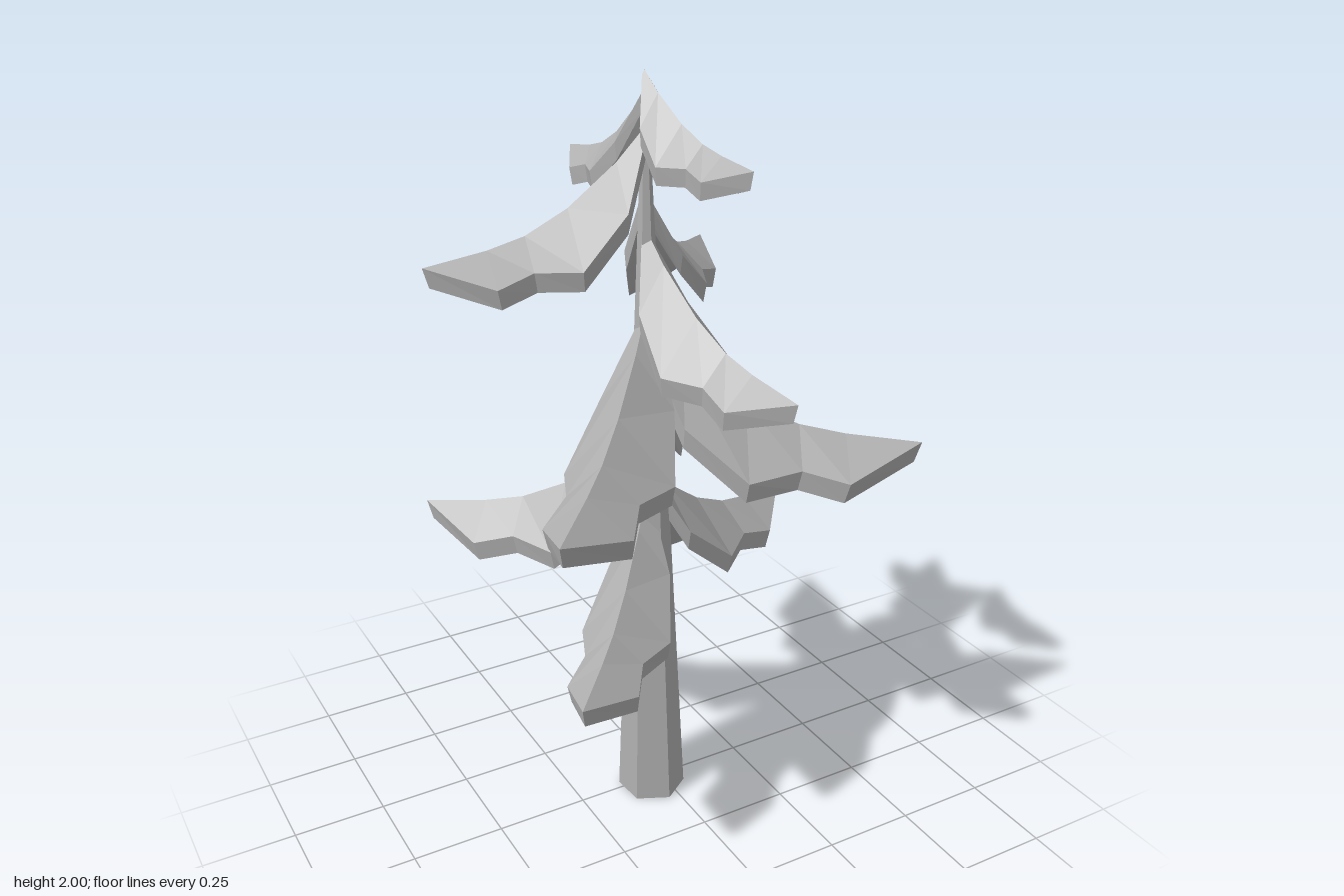
import * as THREE from 'three';

const HUB = new THREE.Vector3(-0.05, 0, 0.015);

// Branch stations: [fraction of length, ridge height as fraction of drop, half width / length, side slope]
const STATIONS = [
  [0.0, 1.0, 0.02, 1.4],
  [0.13, 0.73, 0.14, 1.4],
  [0.355, 0.38, 0.2, 1.15],
  [0.55, 0.18, 0.128, 1.0],
  [0.72, 0.09, 0.155, 0.85],
  [1.0, 0.0, 0.0, 0.0],
];

// Branch tips and the height where each ridge meets the trunk: [x, y, z, rootY]
const BRANCHES = [
  [-0.455, 0.635, 0.44, 0.93],
  [0.52, 0.72, -0.215, 1.0],
  [-0.49, 0.815, -0.435, 1.1],
  [0.2, 1.02, -0.555, 1.28],
  [0.585, 1.055, 0.34, 1.37],
  [-0.535, 1.12, 0.515, 1.42],
  [0.04, 1.345, 0.55, 1.63],
  [0.33, 1.47, -0.36, 1.72],
  [-0.59, 1.59, -0.06, 1.87],
  [-0.06, 1.76, -0.365, 1.96],
  [0.01, 1.835, 0.39, 2.0],
];

// Folded, drooping slab: a roof-shaped section swept outwards along +x
function branchGeometry(length, drop) {
  const thick = 0.03 + 0.035 * length;
  const rings = STATIONS.map(([t, h, w, slope]) => {
    const x = t * length, y = h * drop, hw = w * length;
    const low = y - hw * slope;
    const bx = x * 0.975, bw = hw * 0.93;
    return [
      [x, low, -hw], [x, y, 0], [x, low, hw],
      [bx, low - thick, bw], [bx, y - thick, 0], [bx, low - thick, -bw],
    ];
  });
  const out = [];
  const quad = (a, b, c, d) => out.push(...a, ...b, ...c, ...a, ...c, ...d);
  for (let i = 0; i < rings.length - 1; i++) {
    const p = rings[i], q = rings[i + 1];
    for (let k = 0; k < 6; k++) {
      const n = (k + 1) % 6;
      quad(p[k], p[n], q[n], q[k]);
    }
  }
  // root cap
  const r = rings[0];
  quad(r[1], r[0], r[5], r[4]);
  quad(r[2], r[1], r[4], r[3]);
  const geo = new THREE.BufferGeometry();
  geo.setAttribute('position', new THREE.Float32BufferAttribute(out, 3));
  geo.computeVertexNormals();
  return geo;
}

export function createModel() {
  const tree = new THREE.Group();
  tree.name = 'pineTree';
  const grey = new THREE.MeshStandardMaterial({ color: 0xb0b0b0 });
  grey.name = 'plainGrey';
  grey.flatShading = true;

  // Tapered six-sided trunk, leaning slightly towards the hub line
  const trunkGeo = new THREE.CylinderGeometry(0.006, 0.0925, 1.97, 6);
  trunkGeo.rotateY(0.08);
  trunkGeo.translate(0, 0.985, 0);
  const pos = trunkGeo.attributes.position;
  for (let i = 0; i < pos.count; i++) {
    const f = pos.getY(i) / 1.97;
    pos.setX(i, pos.getX(i) - 0.038 - 0.012 * f);
    pos.setZ(i, pos.getZ(i) + 0.016);
  }
  trunkGeo.computeVertexNormals();
  const trunk = new THREE.Mesh(trunkGeo, grey);
  trunk.name = 'trunk';
  tree.add(trunk);

  // Branches spiral up the trunk, each aimed at its tip
  BRANCHES.forEach(([x, y, z, rootY], i) => {
    const dx = x - HUB.x, dz = z - HUB.z;
    const branch = new THREE.Mesh(branchGeometry(Math.hypot(dx, dz), rootY - y), grey);
    branch.name = `branch${i + 1}`;
    branch.position.set(HUB.x, y, HUB.z);
    branch.rotation.y = Math.atan2(-dz, dx);
    tree.add(branch);
  });
  return tree;
}
